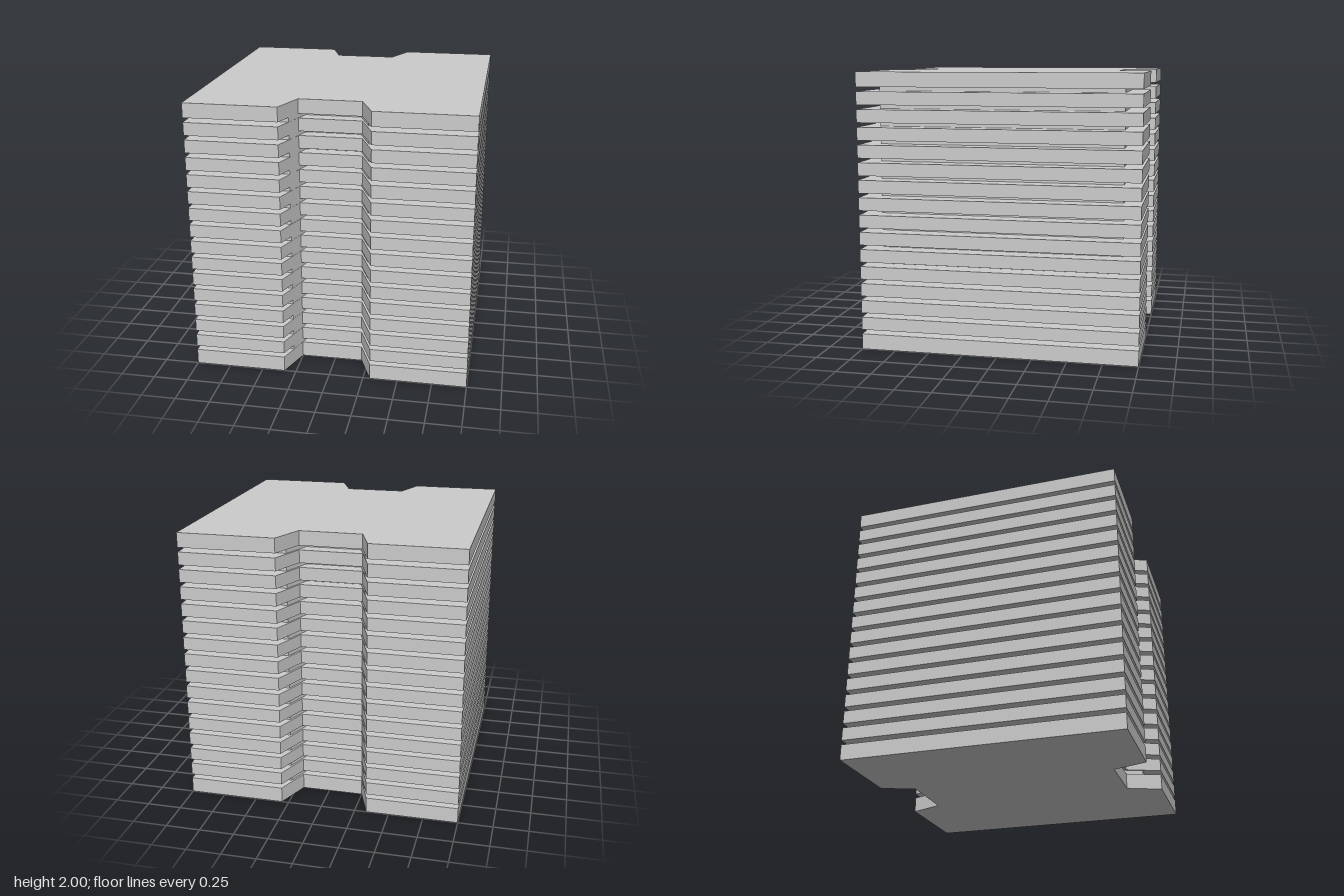
import * as THREE from 'three';

const material = new THREE.MeshStandardMaterial({ color: 0xcccccc, flatShading: true });

// Square plan with a tapered notch in the front and back, scaled about its centre
function plan(scale) {
  const points = [
    [-1, -1], [-0.335, -1], [-0.25, -0.755], [0.2, -0.755], [0.3, -1], [1, -1],
    [1, 1], [0.3, 1], [0.2, 0.76], [-0.25, 0.76], [-0.335, 1], [-1, 1],
  ];
  return new THREE.Shape(points.map(([x, y]) => new THREE.Vector2(x * scale, y * scale)));
}

function layer(name, scale, bottom, top) {
  const geometry = new THREE.ExtrudeGeometry(plan(scale), { depth: top - bottom, bevelEnabled: false });
  geometry.rotateX(-Math.PI / 2);
  const mesh = new THREE.Mesh(geometry, material);
  mesh.name = name;
  mesh.position.y = bottom;
  return mesh;
}

export function createModel() {
  const group = new THREE.Group();
  group.name = 'tower';

  const floors = 16;
  const pitch = 0.125;

  // Wide floor slabs; the lowest and highest are slightly thicker
  for (let i = 0; i < floors; i++) {
    const bottom = i === 0 ? 0 : 0.02 + i * pitch;
    const top = i === floors - 1 ? 2 : 0.113 + i * pitch;
    group.add(layer('floorSlab', 1, bottom, top));
  }

  // Recessed window bands between the slabs
  for (let i = 0; i < floors - 1; i++) {
    group.add(layer('windowBand', 0.87, 0.113 + i * pitch, 0.145 + i * pitch));
  }

  return group;
}
